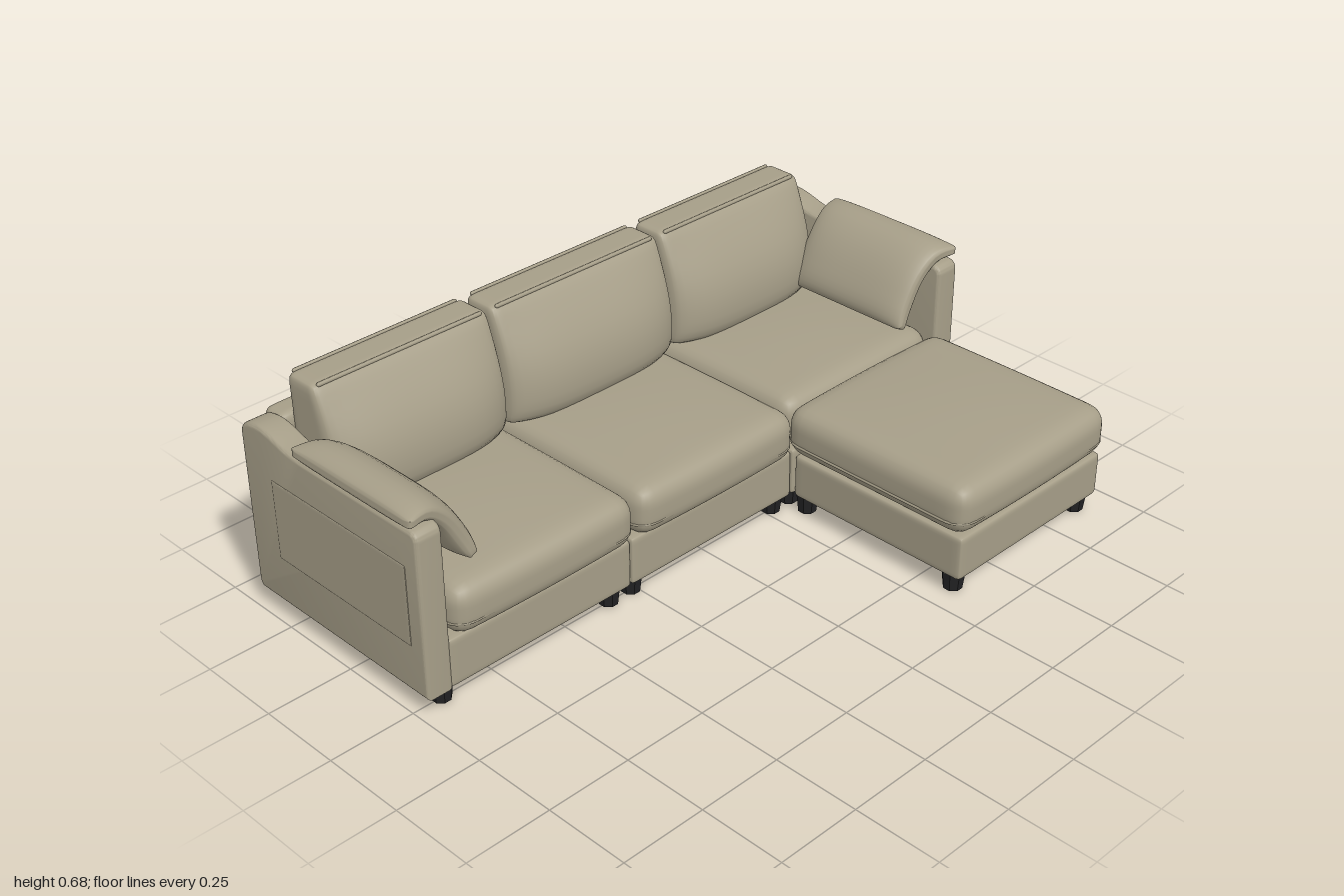
import * as THREE from 'three';
import { mergeVertices, toCreasedNormals } from 'three/addons/utils/BufferGeometryUtils.js';

const fabric = new THREE.MeshStandardMaterial({ color: 0xa69e88 });
fabric.name = 'taupe upholstery';
const legPaint = new THREE.MeshStandardMaterial({ color: 0x222224 });
legPaint.name = 'black leg';

const clamp = THREE.MathUtils.clamp;

function add(parent, name, geometry, material, x = 0, y = 0, z = 0) {
  const mesh = new THREE.Mesh(geometry, material);
  mesh.name = name;
  mesh.position.set(x, y, z);
  parent.add(mesh);
  return mesh;
}

// Smooth rounded box; deform(p, u, v, w) reshapes it, u v w running from -1 to 1
function softBox(w, h, d, r, deform) {
  let geo = new THREE.BoxGeometry(2, 2, 2, 20, 16, 20);
  geo.deleteAttribute('uv');
  geo.deleteAttribute('normal');
  geo = mergeVertices(geo);
  const pos = geo.attributes.position;
  const half = new THREE.Vector3(w / 2, h / 2, d / 2);
  const p = new THREE.Vector3(), inner = new THREE.Vector3();
  for (let i = 0; i < pos.count; i++) {
    p.fromBufferAttribute(pos, i);
    for (const a of ['x', 'y', 'z']) {
      p[a] = Math.sin(p[a] * Math.PI / 2) * half[a];
      const limit = Math.max(half[a] - r, 0);
      inner[a] = clamp(p[a], -limit, limit);
    }
    p.sub(inner).normalize().multiplyScalar(r).add(inner);
    if (deform) deform(p, p.x / half.x, p.y / half.y, p.z / half.z);
    pos.setXYZ(i, p.x, p.y, p.z);
  }
  geo.computeVertexNormals();
  return geo;
}

// Closed piping loop on a rounded rectangle lying flat
function piping(w, d, r, radius) {
  const path = new THREE.CurvePath();
  const pts = [];
  for (let c = 0; c < 4; c++) {
    const sx = c === 0 || c === 3 ? 1 : -1, sz = c < 2 ? 1 : -1;
    for (let k = 0; k <= 4; k++) {
      const a = (c + k / 4) * Math.PI / 2;
      pts.push(new THREE.Vector3(sx * (w / 2 - r) + r * Math.cos(a), 0, sz * (d / 2 - r) + r * Math.sin(a)));
    }
  }
  pts.forEach((p, i) => path.add(new THREE.LineCurve3(p, pts[(i + 1) % pts.length])));
  return new THREE.TubeGeometry(path, 120, radius, 6, true);
}

// Crowned seat cushion with a piped lower edge
function seatCushion(parent, name, x0, x1, z0, z1) {
  const w = x1 - x0, d = z1 - z0, group = new THREE.Group();
  group.name = name;
  group.position.set((x0 + x1) / 2, 0.265, (z0 + z1) / 2);
  add(group, 'cushionBody', softBox(w, 0.15, d, 0.055, (p, u, v, s) => {
    const crown = (1 - u * u) * (1 - s * s);
    p.y += v > 0 ? 0.016 * v * crown : 0;
    p.z += 0.008 * Math.sign(s) * (1 - u * u) * Math.abs(s) ** 3;
  }), fabric);
  add(group, 'cushionPiping', piping(w - 0.004, d - 0.002, 0.055, 0.005), fabric, 0, -0.03);
  parent.add(group);
}

// Back cushion: thin at the top seam, swelling forward lower down
function backCushion(parent, x0, x1) {
  const w = x1 - x0, group = new THREE.Group();
  group.name = 'backCushion';
  group.position.set((x0 + x1) / 2, 0.51, -0.525);
  add(group, 'cushionBody', softBox(w, 0.34, 0.11, 0.022, (p, u, v, s) => {
    const drop = (1 - v) / 2;
    const side = 0.55 + 0.45 * (1 - u ** 4);
    const swell = Math.sin(Math.min(1, drop * 1.35) * Math.PI / 2) * side;
    const tuck = 1 - 0.25 * clamp((drop - 0.8) / 0.2, 0, 1) ** 2;
    p.z += 0.115 * swell * tuck * clamp((s + 1) / 2, 0, 1);
    p.y += v < 0 ? 0.012 * v * (1 - u * u) : 0;
  }), fabric);
  for (const z of [0.05, -0.05]) {
    const seam = new THREE.CapsuleGeometry(0.006, w - 0.05, 3, 8).rotateZ(Math.PI / 2);
    add(group, 'topPiping', seam, fabric, 0, 0.166, z);
  }
  parent.add(group);
}

// Side panel with a top that sweeps up toward the back
function armGeometry() {
  const b = 0.012, s = new THREE.Shape();
  s.moveTo(0.05 - b, 0.055 + b);
  s.lineTo(0.05 - b, 0.525 - b);
  s.quadraticCurveTo(0.05 - b, 0.543 - b, 0.03 - b, 0.543 - b);
  s.lineTo(-0.40, 0.543 - b);
  s.bezierCurveTo(-0.48, 0.543 - b, -0.51, 0.572 - b, -0.57, 0.572 - b);
  s.quadraticCurveTo(-0.64 + b, 0.568 - b, -0.645 + b, 0.53);
  s.lineTo(-0.645 + b, 0.075 + b);
  s.quadraticCurveTo(-0.645 + b, 0.055 + b, -0.625, 0.055 + b);
  s.closePath();
  const geo = new THREE.ExtrudeGeometry(s, { depth: 0.08 - 2 * b, bevelSize: b, bevelThickness: b, bevelSegments: 4, curveSegments: 10 });
  geo.translate(0, 0, -(0.04 - b)).rotateY(-Math.PI / 2);
  return toCreasedNormals(geo, 0.6);
}

// Throw pillow bent over the arm, centred on its own z
function pillowGeometry() {
  const curve = new THREE.CatmullRomCurve3([
    [0.79, 0.365], [0.822, 0.43], [0.868, 0.505], [0.925, 0.552], [0.995, 0.558],
  ].map(([x, y]) => new THREE.Vector3(x, y, 0)));
  return softBox(2, 2, 2, 0.1, (p, u, v, s) => {
    const t = clamp((u + 1) / 2, 0, 1);
    const c = curve.getPoint(t), tan = curve.getTangent(t);
    const fat = Math.sqrt(Math.max(0, (1 - u ** 4) * (1 - s ** 4)));
    const half = 0.008 + 0.038 * fat * (1 - 0.35 * t);
    const width = 0.212 + 0.022 * t ** 2 - 0.008 * (1 - u * u);
    p.set(c.x - tan.y * v * half, c.y + tan.x * v * half, s * width);
  });
}

export function createModel() {
  const sofa = new THREE.Group();
  sofa.name = 'sectionalSofa';

  // Three seat modules: base, back panel and cushions
  const modules = [
    { base: [-0.915, -0.306], seat: [-0.9, -0.295], back: [-0.88, -0.315], front: 0.07 },
    { base: [-0.304, 0.304], seat: [-0.293, 0.3], back: [-0.305, 0.3], front: 0.075 },
    { base: [0.306, 0.915], seat: [0.305, 0.915], back: [0.31, 0.872], front: 0.03 },
  ];
  for (const m of modules) {
    const w = m.base[1] - m.base[0], x = (m.base[0] + m.base[1]) / 2;
    add(sofa, 'seatBase', softBox(w, 0.145, 0.67, 0.012), fabric, x, 0.1275, -0.285);
    const panel = softBox(w, 0.51, 0.085, 0.025, (p, u, v, s) => {
      if (s < 0) p.z += 0.016 * s * (1 - u ** 4) * (1 - v ** 4);
    });
    add(sofa, 'backPanel', panel, fabric, x, 0.313, -0.608);
    seatCushion(sofa, 'seatCushion', ...m.seat, -0.55, m.front);
    backCushion(sofa, ...m.back);
  }

  // Arms with a faint raised panel outside, and pillows draped over them
  const arm = armGeometry(), pillow = pillowGeometry();
  const panel = softBox(0.006, 0.235, 0.53, 0.003);
  for (const side of [-1, 1]) {
    add(sofa, 'arm', arm, fabric, side * 0.947);
    add(sofa, 'armOuterPanel', panel, fabric, side * 0.986, 0.315, -0.265);
    const mesh = add(sofa, 'armPillow', pillow, fabric, 0, 0.01, -0.19);
    if (side < 0) mesh.rotation.y = Math.PI;
  }

  // Ottoman in front of the left-hand seat
  add(sofa, 'ottomanBase', softBox(0.605, 0.135, 0.59, 0.014), fabric, 0.609, 0.1225, 0.35);
  seatCushion(sofa, 'ottomanCushion', 0.288, 0.924, 0.028, 0.655);

  // Tapered chamfered legs
  const leg = new THREE.CylinderGeometry(0.034, 0.027, 0.06, 8).rotateY(Math.PI / 8).toNonIndexed();
  leg.computeVertexNormals();
  const feet = [];
  for (const x of [-0.91, -0.345, -0.265, 0.275, 0.348, 0.91]) feet.push([x, 0], [x, -0.6]);
  for (const x of [0.348, 0.88]) feet.push([x, 0.595], [x, 0.072]);
  for (const [x, z] of feet) add(sofa, 'leg', leg, legPaint, x, 0.03, z);

  return sofa;
}
